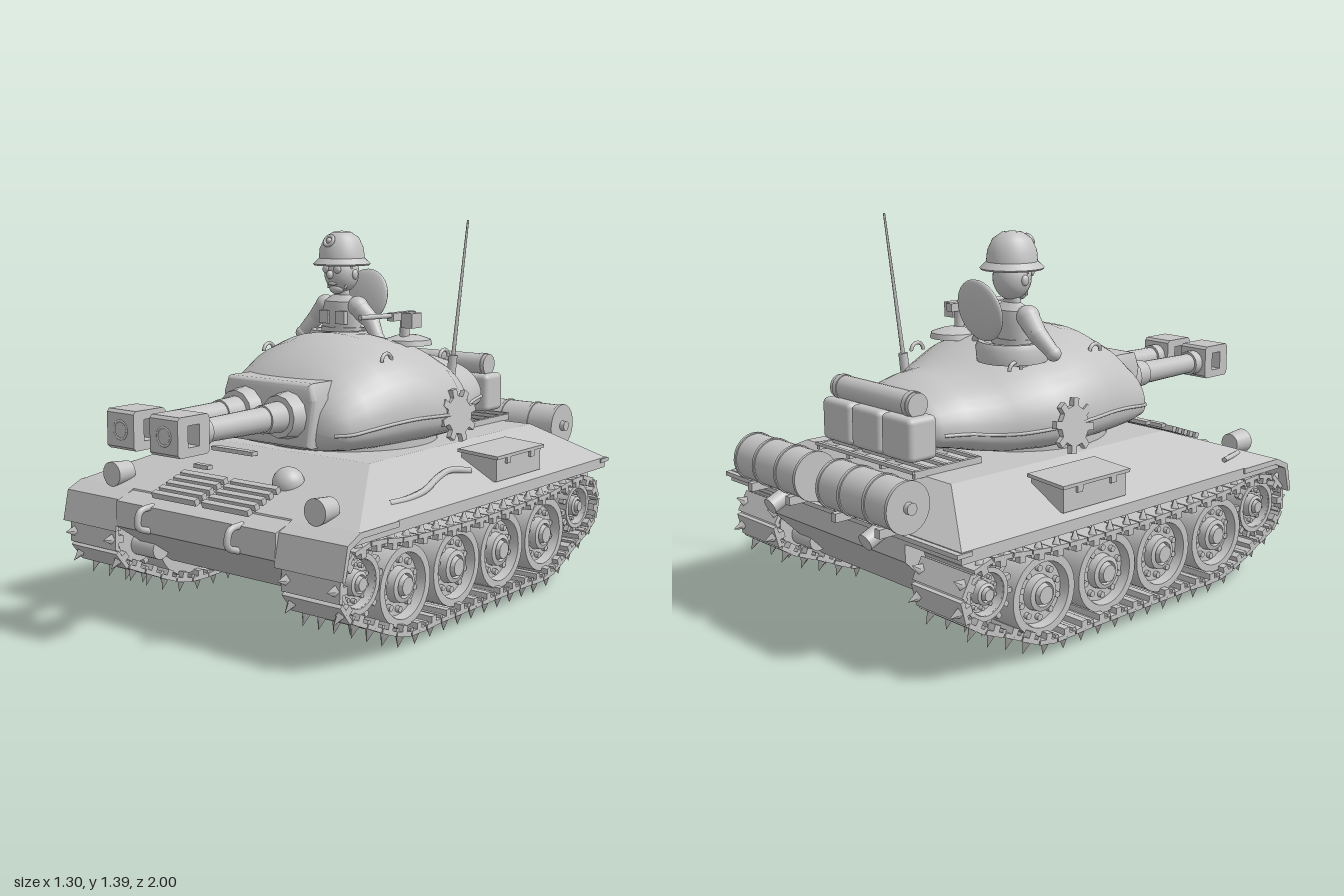
import * as THREE from 'three';
import { mergeGeometries, toCreasedNormals } from 'three/addons/utils/BufferGeometryUtils.js';
import { RoundedBoxGeometry } from 'three/addons/geometries/RoundedBoxGeometry.js';

const steel = new THREE.MeshStandardMaterial({ color: 0xc4c4c4 });
steel.name = 'steel grey';
const V = (x, y, z) => new THREE.Vector3(x, y, z);

export function createModel() {
  const model = new THREE.Group();
  model.name = 'tank';
  let parent = model;

  const group = (name) => {
    parent = new THREE.Group();
    parent.name = name;
    model.add(parent);
  };
  const add = (name, geo, x = 0, y = 0, z = 0, rx = 0, ry = 0, rz = 0) => {
    const mesh = new THREE.Mesh(geo, steel);
    mesh.name = name;
    mesh.position.set(x, y, z);
    mesh.rotation.set(rx, ry, rz);
    parent.add(mesh);
    return mesh;
  };
  const box = (name, w, h, d, ...place) => add(name, new THREE.BoxGeometry(w, h, d), ...place);
  const ball = (name, r, x, y, z, sx = 1, sy = 1, sz = 1) =>
    add(name, new THREE.SphereGeometry(r, 24, 16), x, y, z).scale.set(sx, sy, sz);
  // Tapered rod running from a to b
  const rod = (name, a, b, r1, r2 = r1, sides = 20) => {
    const mesh = add(name, new THREE.CylinderGeometry(r2, r1, a.distanceTo(b), sides));
    mesh.position.lerpVectors(a, b, 0.5);
    mesh.quaternion.setFromUnitVectors(V(0, 1, 0), b.clone().sub(a).normalize());
  };
  const tube = (name, pts, r, closed = false) =>
    add(name, new THREE.TubeGeometry(new THREE.CatmullRomCurve3(pts, closed), pts.length * 8, r, 8, closed));
  const lathe = (pts, sides = 32) =>
    toCreasedNormals(new THREE.LatheGeometry(pts.map(p => new THREE.Vector2(...p)), sides), 0.6);
  const outline = (pts) => new THREE.Shape(pts.map(p => new THREE.Vector2(...p)));
  // Extrude a (z, y) outline across x, centred on x = 0
  const sideways = (shape, width) =>
    new THREE.ExtrudeGeometry(shape, { depth: width, bevelEnabled: false })
      .translate(0, 0, -width / 2).rotateY(-Math.PI / 2);
  // Skin between closed rings, with end caps
  const loft = (rings, crease) => {
    const pos = [], n = rings[0].length;
    const tri = (...t) => t.forEach(p => pos.push(p.x, p.y, p.z));
    for (let i = 0; i < rings.length - 1; i++) for (let j = 0; j < n; j++) {
      const k = (j + 1) % n, [p, q] = [rings[i], rings[i + 1]];
      tri(p[j], p[k], q[k]);
      tri(p[j], q[k], q[j]);
    }
    const first = rings[0], last = rings[rings.length - 1];
    for (let j = 1; j < n - 1; j++) {
      tri(first[0], first[j + 1], first[j]);
      tri(last[0], last[j], last[j + 1]);
    }
    const geo = new THREE.BufferGeometry();
    geo.setAttribute('position', new THREE.Float32BufferAttribute(pos, 3));
    return toCreasedNormals(geo, crease);
  };
  const gear = (teeth, inner, outer, hole) => {
    const pts = [];
    for (let i = 0; i < teeth; i++)
      [[0, inner], [0.5, inner], [0.58, outer], [0.92, outer]].forEach(([f, r]) => {
        const a = (i + f) / teeth * Math.PI * 2;
        pts.push([Math.cos(a) * r, Math.sin(a) * r]);
      });
    const shape = outline(pts);
    if (hole) shape.holes.push(new THREE.Path().absarc(0, 0, hole, 0, Math.PI * 2, true));
    return shape;
  };

  // Hull: tub with sloped nose, and a pyramid-like deck
  group('hull');
  add('hullTub', sideways(outline([[0.5, 0.5], [0.78, 0.41], [0.785, 0.32], [0.52, 0.14],
    [-0.68, 0.14], [-0.88, 0.34], [-0.88, 0.43], [-0.6, 0.5]]), 0.745));
  const rect = (x, y, f, b) => [V(x, y, f), V(x, y, b), V(-x, y, b), V(-x, y, f)];
  add('deck', loft([rect(0.645, 0.4, 0.72, -0.88), rect(0.645, 0.44, 0.7, -0.88),
    rect(0.4, 0.57, 0.33, -0.71)], 0.1));
  box('rearLedge', 1.3, 0.015, 0.06, 0, 0.43, -0.87);
  const fender = outline([[0.5, 0.44], [0.7, 0.44], [0.765, 0.41], [0.79, 0.3], [0.775, 0.3],
    [0.75, 0.395], [0.69, 0.42], [0.5, 0.42]]);
  for (const s of [-1, 1]) {
    add('frontFender', sideways(fender, 0.28), s * 0.512, 0, 0);
    rod('headlight', V(s * 0.475, 0.48, 0.63), V(s * 0.475, 0.48, 0.71), 0.038, 0.045);
    rod('headlightStalk', V(s * 0.475, 0.42, 0.66), V(s * 0.475, 0.46, 0.66), 0.015);
    tube('towHook', [V(s * 0.21, 0.41, 0.76), V(s * 0.21, 0.4, 0.82), V(s * 0.21, 0.35, 0.83),
      V(s * 0.21, 0.325, 0.78)], 0.012);
    box('stowageBox', 0.15, 0.09, 0.3, s * 0.545, 0.505, -0.27);
    box('stowageLid', 0.17, 0.012, 0.32, s * 0.545, 0.553, -0.27, 0, 0, -s * 0.06);
    for (const z of [-0.35, -0.19]) box('boxLatch', 0.012, 0.03, 0.025, s * 0.623, 0.535, z);
    // Spare track bars on the nose
    for (let i = 0; i < 5; i++)
      box('spareTrackBar', 0.21, 0.022, 0.022, s * 0.12, 0.497 - i * 0.0122, 0.6 + i * 0.035, 0.34);
    // Fuel drums with bands
    rod('fuelDrum', V(s * 0.06, 0.54, -0.91), V(s * 0.43, 0.54, -0.91), 0.083, 0.083, 32);
    for (const x of [0.065, 0.18, 0.31, 0.425])
      rod('drumBand', V(s * (x - 0.006), 0.54, -0.91), V(s * (x + 0.006), 0.54, -0.91), 0.087, 0.087, 32);
    rod('drumCap', V(s * 0.43, 0.54, -0.91), V(s * 0.45, 0.54, -0.91), 0.02);
    for (const x of [0.13, 0.36]) box('drumBracket', 0.025, 0.03, 0.16, s * x, 0.455, -0.9);
    rod('exhaust', V(s * 0.27, 0.47, -0.8), V(s * 0.27, 0.4, -0.96), 0.03);
  }
  box('glacisStep', 0.2, 0.015, 0.03, -0.155, 0.56, 0.41);
  box('glacisStep', 0.07, 0.015, 0.025, -0.18, 0.52, 0.545);
  ball('glacisDome', 0.056, 0.195, 0.505, 0.515);
  tube('towCable', [V(0.54, 0.5, -0.07), V(0.525, 0.515, 0.03), V(0.545, 0.51, 0.13),
    V(0.57, 0.485, 0.25), V(0.575, 0.475, 0.35), V(0.57, 0.475, 0.45)], 0.012);
  rod('deckRail', V(-0.6, 0.475, 0.44), V(-0.57, 0.475, 0.56), 0.009);

  // Running gear: road wheels, sprockets and track links
  const wheelProfile = [[0, -0.095], [0.14, -0.095], [0.14, 0.095], [0.113, 0.095], [0.107, 0.06],
    [0.062, 0.06], [0.058, 0.09], [0.042, 0.095], [0.038, 0.08], [0.03, 0.105], [0, 0.105]];
  const bolts = Array.from({ length: 10 }, (_, i) => new THREE.CylinderGeometry(0.011, 0.011, 0.02, 10)
    .translate(Math.cos(i * Math.PI / 5) * 0.085, 0.065, Math.sin(i * Math.PI / 5) * 0.085));
  const wheel = mergeGeometries([lathe(wheelProfile), ...bolts.map(b => b.toNonIndexed())]);
  const path = new THREE.CatmullRomCurve3([[0.735, 0.34], [0.767, 0.26], [0.74, 0.18], [0.6, 0.105],
    [0.42, 0.04], [0.2, 0.038], [-0.1, 0.038], [-0.3, 0.038], [-0.5, 0.04], [-0.65, 0.1], [-0.83, 0.19],
    [-0.858, 0.265], [-0.82, 0.345], [-0.74, 0.375], [-0.45, 0.352], [0, 0.345], [0.4, 0.36],
    [0.63, 0.38]].map(([z, y]) => V(0, y, z)), true);
  const links = [], count = 42;
  for (let i = 0; i < count; i++) {
    const p = path.getPointAt(i / count), t = path.getTangentAt(i / count);
    const angle = Math.atan2(-t.y, t.z);
    [new THREE.BoxGeometry(0.24, 0.016, 0.08),
      new THREE.BoxGeometry(0.24, 0.035, 0.026).translate(0, -0.012 * -1, 0),
      new THREE.BoxGeometry(0.235, 0.014, 0.014).translate(0, 0.012, 0.038),
      new THREE.ConeGeometry(0.022, 0.05, 4).rotateX(Math.PI).translate(0.1, -0.025, 0),
      new THREE.ConeGeometry(0.022, 0.05, 4).rotateX(Math.PI).translate(-0.1, -0.025, 0)]
      .forEach(g => links.push(g.rotateX(Math.PI).rotateX(angle).translate(0, p.y, p.z)));
  }
  const trackGeo = mergeGeometries(links);
  for (const s of [-1, 1]) {
    group(s > 0 ? 'leftRunningGear' : 'rightRunningGear');
    add('track', trackGeo, s * 0.51, 0, 0);
    for (const z of [0.4, 0.1, -0.19, -0.49]) add('roadWheel', wheel, s * 0.51, 0.195, z, 0, 0, -s * Math.PI / 2);
    for (const [z, y, r] of [[0.64, 0.255, 0.1], [-0.74, 0.26, 0.088]]) {
      add('endWheel', wheel, s * 0.51, y, z, 0, 0, -s * Math.PI / 2).scale.set(r / 0.14, 1, r / 0.14);
      for (const x of [0.43, 0.59])
        add('sprocketTeeth', sideways(gear(14, r * 0.98, r + 0.022, r * 0.8), 0.02), s * x, y, z);
    }
    for (const z of [0.64, 0.4, 0.1, -0.19, -0.49, -0.74]) rod('axle', V(s * 0.3, 0.22, z), V(s * 0.45, 0.22, z), 0.04);
  }

  // Turret: cast shell lofted from front to back
  group('turret');
  const sections = [[-0.66, 0.1, 0.76, 0.66], [-0.65, 0.19, 0.79, 0.64], [-0.6, 0.24, 0.82, 0.62],
    [-0.5, 0.265, 0.845, 0.6], [-0.42, 0.29, 0.853, 0.58], [-0.35, 0.345, 0.88, 0.57],
    [-0.22, 0.405, 0.93, 0.565], [-0.08, 0.42, 0.96, 0.565], [0.05, 0.4, 0.968, 0.565],
    [0.15, 0.375, 0.945, 0.565], [0.25, 0.345, 0.89, 0.57], [0.32, 0.315, 0.83, 0.58],
    [0.36, 0.27, 0.77, 0.6], [0.375, 0.15, 0.74, 0.63]];
  const pow = (v, e) => Math.sign(v) * Math.abs(v) ** e;
  const rings = sections.map(([z, w, top, base]) => Array.from({ length: 40 }, (_, j) => {
    const a = j / 40 * Math.PI * 2, mid = base + 0.3 * (top - base), c = Math.cos(a), s = Math.sin(a);
    return s >= 0 ? V(w * pow(c, 0.95), mid + (top - mid) * pow(s, 0.95), z)
      : V(w * pow(c, 0.6), mid + (mid - base) * pow(s, 0.8), z);
  }));
  add('turretShell', loft(rings, 1.0));
  add('turretRing', new THREE.CylinderGeometry(0.34, 0.34, 0.06, 40), 0, 0.57, -0.05);
  for (const j of [0, 20]) tube('castSeam', rings.slice(2, 13).map(r => r[j]), 0.006);
  const plate = outline([[-0.17, 0.62], [0.17, 0.62], [0.195, 0.77], [0.18, 0.81], [-0.18, 0.81], [-0.195, 0.77]]);
  add('mantlet', toCreasedNormals(new THREE.ExtrudeGeometry(plate, { depth: 0.1, bevelSize: 0.02,
    bevelThickness: 0.025, bevelSegments: 3 }), 0.6), 0, 0, 0.28);

  // Twin guns with windowed muzzle brakes
  const brake = outline([[-0.07, -0.055], [-0.06, -0.065], [0.06, -0.065], [0.07, -0.055],
    [0.07, 0.055], [0.06, 0.065], [-0.06, 0.065], [-0.07, 0.055]]);
  brake.holes.push(new THREE.Path([[-0.025, -0.035], [-0.025, 0.035], [0.025, 0.035], [0.025, -0.035]]
    .map(p => new THREE.Vector2(...p))));
  for (const x of [-0.1, 0.1]) {
    rod('gunCollar', V(x, 0.715, 0.36), V(x, 0.715, 0.46), 0.092, 0.075, 12);
    rod('gunSleeve', V(x, 0.715, 0.45), V(x, 0.715, 0.54), 0.055, 0.05);
    rod('gunBarrel', V(x, 0.715, 0.5), V(x, 0.715, 0.87), 0.045, 0.038);
    rod('barrelBand', V(x, 0.715, 0.82), V(x, 0.715, 0.865), 0.048);
    add('muzzleBrake', sideways(brake, 0.126), x, 0.72, 0.928);
    add('muzzleRim', new THREE.TorusGeometry(0.03, 0.005, 8, 20), x, 0.72, 0.995);
  }

  // Turret fittings
  for (const s of [-1, 1]) {
    add('gearPlate', sideways(gear(8, 0.07, 0.098), 0.02), s * 0.418, 0.675, -0.17, 0, -s * 0.06, s * 0.12);
    for (const [x, y, z] of [[0.28, 0.885, 0.08], [0.265, 0.865, -0.3]])
      add('grabHandle', new THREE.TorusGeometry(0.028, 0.007, 8, 14, Math.PI), s * x, y, z, 0, Math.PI / 2, 0);
  }
  rod('antennaBase', V(0.25, 0.79, -0.37), V(0.255, 0.865, -0.375), 0.017);
  rod('antenna', V(0.255, 0.86, -0.375), V(0.278, 1.375, -0.43), 0.008, 0.004, 8);
  add('smallHatch', lathe([[0, 0], [0.09, 0], [0.085, 0.02], [0.04, 0.035], [0, 0.038]]), 0.17, 0.915, -0.2);
  rod('machineGunPost', V(0.175, 0.93, -0.17), V(0.175, 1.03, -0.17), 0.018);
  box('machineGunBody', 0.03, 0.03, 0.14, 0.175, 1.025, -0.15);
  rod('machineGunBarrel', V(0.175, 1.03, -0.1), V(0.175, 1.035, 0.1), 0.009);
  box('ammunitionBox', 0.05, 0.055, 0.06, 0.212, 1.01, -0.16);
  // Rear rack with packs and bedroll
  for (const z of [-0.48, -0.55, -0.62, -0.69, -0.755]) box('rackBar', 0.54, 0.012, 0.015, 0, 0.59, z);
  for (const x of [-0.265, -0.09, 0.09, 0.265]) box('rackRail', 0.015, 0.025, 0.29, x, 0.58, -0.61);
  for (const x of [-0.165, 0, 0.165]) add('pack', new RoundedBoxGeometry(0.16, 0.15, 0.12, 3, 0.02), x, 0.685, -0.69);
  rod('bedroll', V(-0.215, 0.795, -0.69), V(0.215, 0.795, -0.69), 0.042);
  for (const x of [-0.19, 0.19]) for (const y of [0.795]) rod('bedrollStrap', V(x - 0.01, y, -0.69), V(x + 0.01, y, -0.69), 0.045);

  // Commander in the open hatch
  group('commander');
  const cx = -0.17, cz = -0.225;
  add('hatchRing', lathe([[0.125, -0.05], [0.13, 0], [0.12, 0.02], [0.1, 0.02], [0.095, -0.03]]), cx, 0.93, cz);
  add('hatchLid', new THREE.SphereGeometry(0.11, 32, 16), cx, 1.07, -0.375, -0.2).scale.set(1, 1, 0.22);
  add('torso', lathe([[0, -0.05], [0.085, -0.04], [0.08, 0.04], [0.088, 0.11], [0.075, 0.16], [0.035, 0.185],
    [0.03, 0.22], [0, 0.22]]), cx, 0.9, cz).scale.set(1.05, 1, 0.65);
  add('belt', new THREE.CylinderGeometry(0.084, 0.084, 0.022, 28), cx, 0.95, cz).scale.set(1.08, 1, 0.7);
  for (const s of [-1, 1]) {
    const shoulder = V(cx + s * 0.08, 1.04, cz), hand = V(cx + s * 0.19, 0.925, cz + 0.015);
    const elbow = V(cx + s * 0.135, 0.99, cz - 0.01);
    ball('shoulder', 0.042, shoulder.x, shoulder.y, shoulder.z);
    rod('upperArm', shoulder, elbow, 0.04, 0.034);
    ball('elbow', 0.034, elbow.x, elbow.y, elbow.z);
    rod('forearm', elbow, hand, 0.034, 0.024);
    ball('hand', 0.027, hand.x, hand.y, hand.z);
    box('chestPocket', 0.045, 0.05, 0.02, cx + s * 0.04, 1.0, cz + 0.053);
    ball('ear', 0.016, cx + s * 0.066, 1.165, cz, 0.6, 1.2, 1);
    ball('eye', 0.017, cx + s * 0.027, 1.185, cz + 0.062, 1, 0.9, 0.6);
    rod('chinStrap', V(cx + s * 0.068, 1.22, cz + 0.01), V(cx + s * 0.04, 1.11, cz + 0.03), 0.005);
  }
  ball('head', 0.068, cx, 1.17, cz, 0.98, 1.15, 1.03);
  ball('nose', 0.014, cx, 1.165, cz + 0.073, 0.9, 1.2, 1.1);
  ball('mouth', 0.02, cx, 1.13, cz + 0.056, 1.1, 0.35, 0.6);
  ball('chin', 0.03, cx, 1.11, cz + 0.03, 1, 0.7, 0.9);
  add('helmet', lathe([[0, 0.01], [0.105, -0.006], [0.11, 0], [0.088, 0.022], [0.084, 0.06], [0.066, 0.1],
    [0.035, 0.122], [0, 0.127]]), cx, 1.205, cz).scale.set(1, 1, 1.05);
  add('helmetBadge', new THREE.TorusGeometry(0.02, 0.007, 8, 20), cx, 1.295, cz + 0.078, -0.5);
  ball('badgeBoss', 0.012, cx, 1.295, cz + 0.078);
  return model;
}
